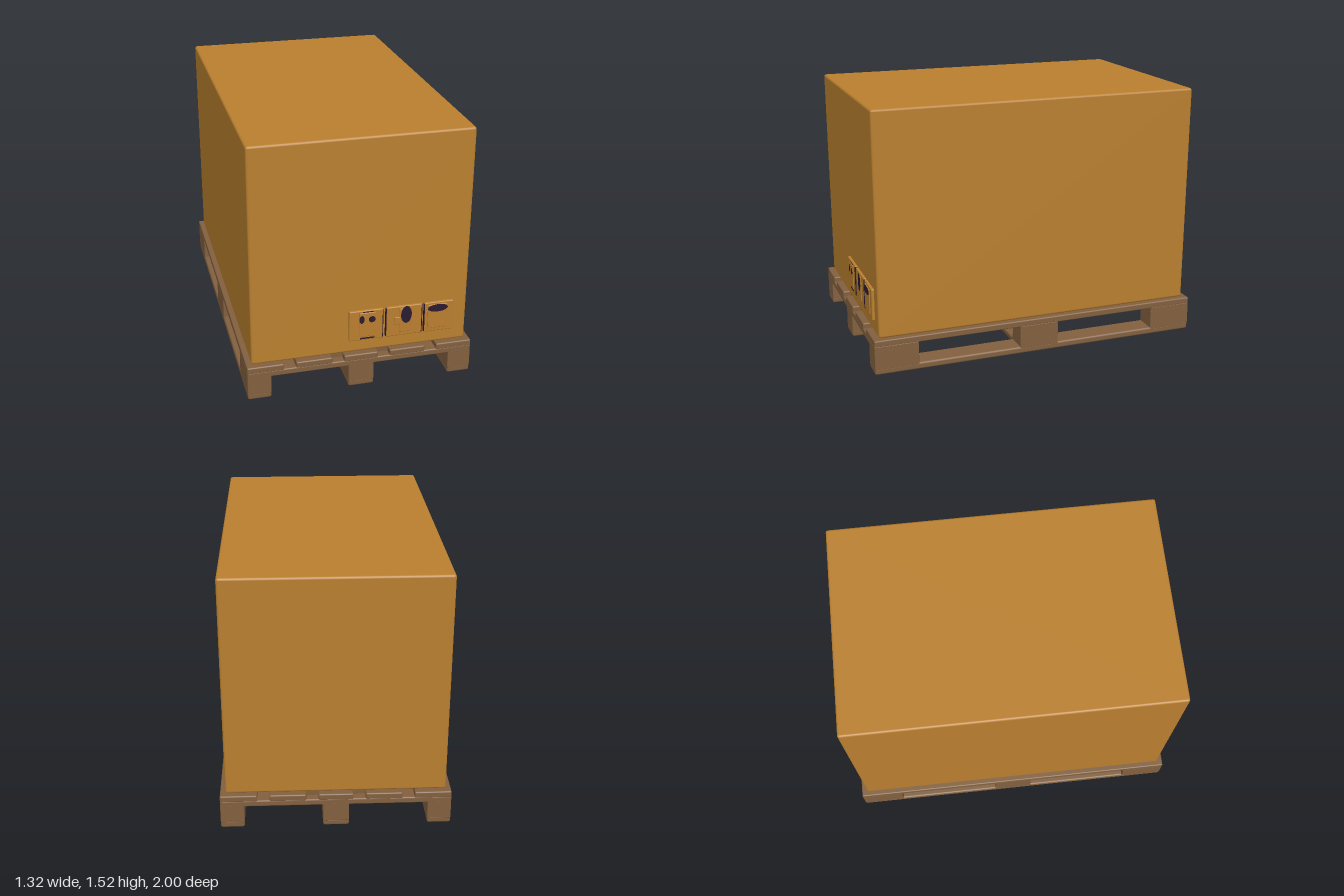
import * as THREE from 'three';
import { RoundedBoxGeometry } from 'three/addons/geometries/RoundedBoxGeometry.js';

const mat = (name, color) => {
  const m = new THREE.MeshStandardMaterial({ color });
  m.name = name;
  return m;
};

export function createModel() {
  const cardboard = mat('cardboard', 0xb97f2f);
  const wood = mat('wood', 0x82603f);
  const ink = mat('dark ink', 0x2a1a30);
  const root = new THREE.Group();
  root.name = 'loadedPallet';
  const pallet = new THREE.Group();
  pallet.name = 'pallet';
  const labels = new THREE.Group();
  labels.name = 'handlingLabels';
  root.add(pallet, labels);

  // Rounded box given by its limits on each axis
  const block = (parent, name, m, [x0, x1], [y0, y1], [z0, z1], r = 0.008) => {
    const w = x1 - x0, h = y1 - y0, d = z1 - z0;
    const geo = r ? new RoundedBoxGeometry(w, h, d, 2, Math.min(r, w / 2.1, h / 2.1, d / 2.1)) : new THREE.BoxGeometry(w, h, d);
    const mesh = new THREE.Mesh(geo, m);
    mesh.name = name;
    mesh.position.set((x0 + x1) / 2, (y0 + y1) / 2, (z0 + z1) / 2);
    parent.add(mesh);
    return mesh;
  };

  // Carton, very slightly narrower at its foot
  const carton = block(root, 'carton', cardboard, [-0.632, 0.632], [0.207, 1.52], [-0.973, 0.973], 0.014);
  const p = carton.geometry.attributes.position;
  for (let i = 0; i < p.count; i++) {
    if (p.getY(i) < 0) p.setZ(i, p.getZ(i) * 0.992);
  }
  carton.geometry.computeBoundingSphere();

  // Pallet: runners along z, blocks and cross boards at three stations
  const columns = [[-0.662, -0.525], [-0.075, 0.075], [0.525, 0.662]];
  const stations = [[-1, -0.74], [-0.12, 0.12], [0.74, 1]];
  for (const x of columns) {
    block(pallet, 'runner', wood, x, [0, 0.042], [-1, 1], 0.012);
    for (const z of stations) block(pallet, 'spacerBlock', wood, x, [0.03, 0.15], z, 0.006);
  }
  for (const z of stations) block(pallet, 'crossBoard', wood, [-0.662, 0.662], [0.138, 0.176], z);
  block(pallet, 'lowerTieBoard', wood, [-0.54, 0.54], [0.006, 0.038], [-0.11, 0.11]);

  // Deck boards, with fillers closing the inner gaps
  for (const x of [[-0.662, -0.45], [-0.38, -0.17], [-0.1, 0.1], [0.17, 0.38], [0.45, 0.662]]) {
    block(pallet, 'deckBoard', wood, x, [0.168, 0.208], [-1, 1]);
  }
  for (const s of [-1, 1]) {
    block(pallet, 'gapFiller', wood, [s * 0.135 - 0.04, s * 0.135 + 0.04], [0.168, 0.206], [-0.95, 0.95], 0);
  }

  // Three raised label panels on the front, each with a pictogram frame
  const panels = [[-0.07, 0.13], [0.15, 0.36], [0.375, 0.55]];
  const frames = [[-0.01, 0.085], [0.225, 0.295], [0.395, 0.51]];
  panels.forEach((x, i) => {
    block(labels, 'labelPanel', cardboard, x, [0.288, 0.478], [0.955, 0.982], 0.006);
    block(labels, 'pictogramFrame', cardboard, frames[i], [0.312, 0.465], [0.97, 0.987], 0.004);
  });
  block(labels, 'pictogramStep', cardboard, [0.197, 0.24], [0.365, 0.412], [0.97, 0.987], 0.004);

  // Printed marks: thin ovals and bars
  const oval = (x, y, rx, ry) => {
    const mesh = new THREE.Mesh(new THREE.CircleGeometry(1, 24), ink);
    mesh.name = 'printedSpot';
    mesh.scale.set(rx, ry, 1);
    mesh.position.set(x, y, 0.989);
    labels.add(mesh);
  };
  oval(0.002, 0.425, 0.015, 0.025);
  oval(0.062, 0.422, 0.02, 0.02);
  oval(0.265, 0.425, 0.032, 0.055);
  oval(0.453, 0.443, 0.06, 0.024);
  const bar = (x, y) => block(labels, 'printedBar', ink, x, y, [0.981, 0.984], 0);
  bar([-0.005, 0.08], [0.296, 0.304]);
  bar([0.01, 0.075], [0.467, 0.471]);
  for (const x of [0.126, 0.145, 0.358, 0.373]) {
    block(labels, 'labelEdge', ink, [x, x + 0.004], [0.295, 0.472], [0.965, 0.983], 0);
  }
  return root;
}
